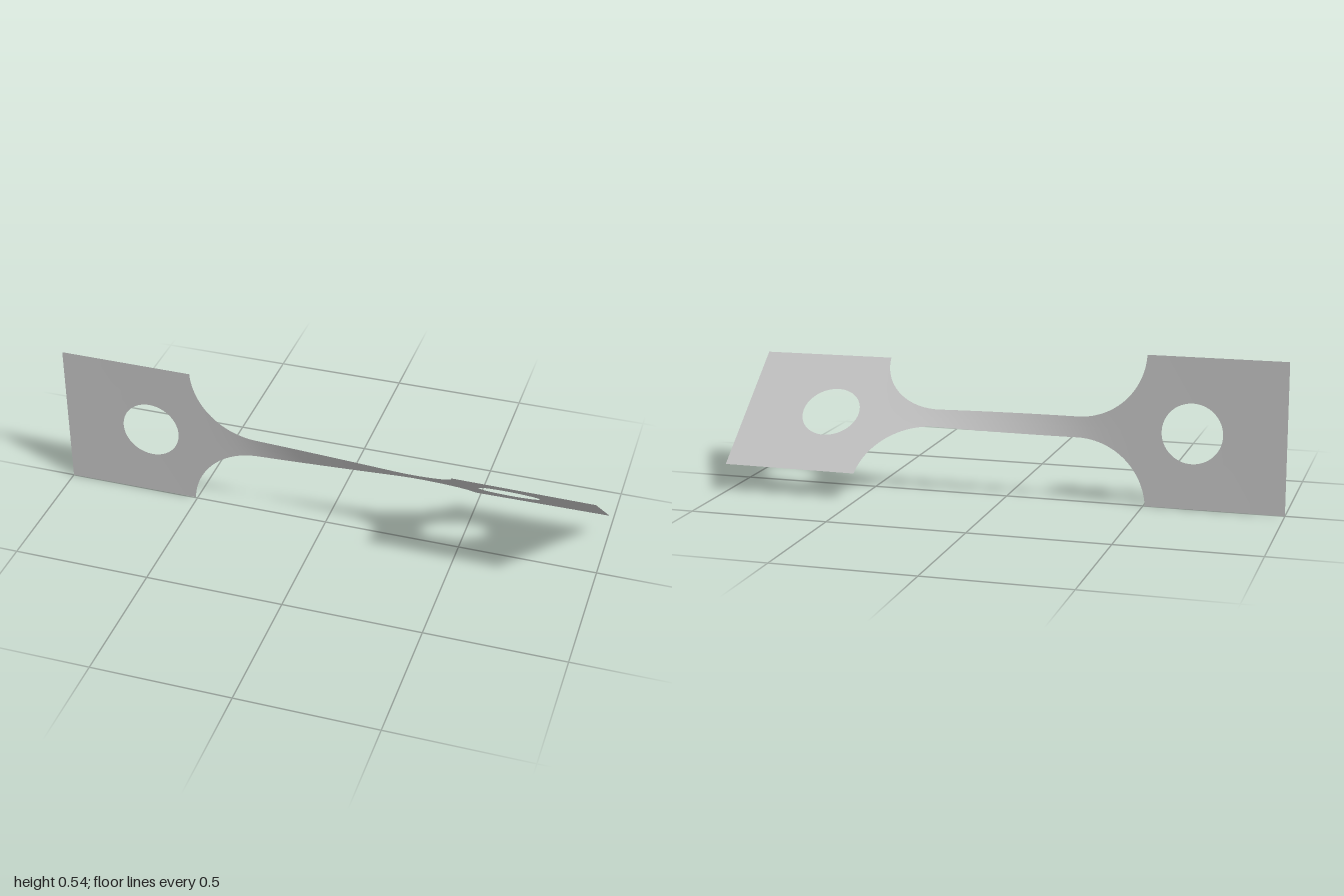
import * as THREE from 'three';
import { mergeVertices } from 'three/addons/utils/BufferGeometryUtils.js';

const HALF = 0.271;                              // half width of the end plates, also the axis height
const WAIST = 0.037;                             // half width of the neck
const NECK = 0.26, SHOULDER = 0.507;             // |x| where the fillet ends and starts
const HOLE_X = 0.67, HOLE_R = 0.108;
const TWIST = THREE.MathUtils.degToRad(51.2);
const rise = HALF - WAIST, run = SHOULDER - NECK;
const FILLET = (run * run + rise * rise) / (2 * rise);

// Half width of the outline at x
function halfWidth(x) {
  const d = Math.abs(x) - NECK;
  if (d <= 0) return WAIST;
  if (d >= run - 1e-6) return HALF;
  return WAIST + FILLET - Math.sqrt(FILLET * FILLET - d * d);
}

// Half height of the bolt hole at x
function holeHeight(x) {
  const d = Math.abs(x) - HOLE_X;
  return Math.sqrt(Math.max(0, HOLE_R * HOLE_R - d * d));
}

// Twist grows fastest where the strip is narrow
const STEPS = 2000, turn = [0];
for (let i = 0; i < STEPS; i++) turn.push(turn[i] + halfWidth(-1 + (2 * i + 1) / STEPS) ** -2);
function angleAt(x) {
  const f = (x + 1) / 2 * STEPS, i = Math.min(STEPS - 1, Math.floor(f));
  return TWIST * THREE.MathUtils.lerp(turn[i], turn[i + 1], f - i) / turn[STEPS];
}

// Column positions: finer around the hole and the fillet
function columns() {
  const half = [];
  for (let i = 1; i <= 16; i++) half.push(NECK * i / 16);
  const sweep = Math.asin(Math.min(1, run / FILLET));
  for (let i = 1; i < 24; i++) half.push(NECK + FILLET * Math.sin(sweep * i / 24));
  half.push(SHOULDER, 0.535);
  for (let i = 0; i <= 32; i++) half.push(HOLE_X - HOLE_R * Math.cos(Math.PI * i / 32));
  for (let i = 1; i <= 6; i++) half.push(THREE.MathUtils.lerp(HOLE_X + HOLE_R, 1, i / 6));
  return [...half.map(x => -x).reverse(), 0, ...half];
}

// Two bands of quads, above and below the axis, wrapped around the holes
function stripGeometry() {
  const xs = columns(), ROWS = 8, pos = [], index = [];
  for (const side of [-1, 1]) {
    const base = pos.length / 3;
    xs.forEach((x, c) => {
      const a = angleAt(x), inner = holeHeight(x), outer = halfWidth(x);
      for (let r = 0; r <= ROWS; r++) {
        const v = side * THREE.MathUtils.lerp(inner, outer, r / ROWS);
        pos.push(x, HALF + v * Math.cos(a), v * Math.sin(a));
        if (c === 0 || r === 0) continue;
        const p = base + c * (ROWS + 1) + r, q = p - ROWS - 1;
        if (side > 0) index.push(q - 1, p - 1, p, q - 1, p, q);
        else index.push(q - 1, p, p - 1, q - 1, q, p);
      }
    });
  }
  const geo = new THREE.BufferGeometry();
  geo.setAttribute('position', new THREE.Float32BufferAttribute(pos, 3));
  geo.setIndex(index);
  const merged = mergeVertices(geo, 1e-5);
  merged.computeVertexNormals();
  return merged;
}

export function createModel() {
  const group = new THREE.Group();
  group.name = 'twistedSpecimen';
  const steel = new THREE.MeshStandardMaterial({ color: 0xc0c0c0, side: THREE.DoubleSide });
  steel.name = 'steel grey';
  const strip = new THREE.Mesh(stripGeometry(), steel);
  strip.name = 'twistedStrip';
  group.add(strip);
  return group;
}
